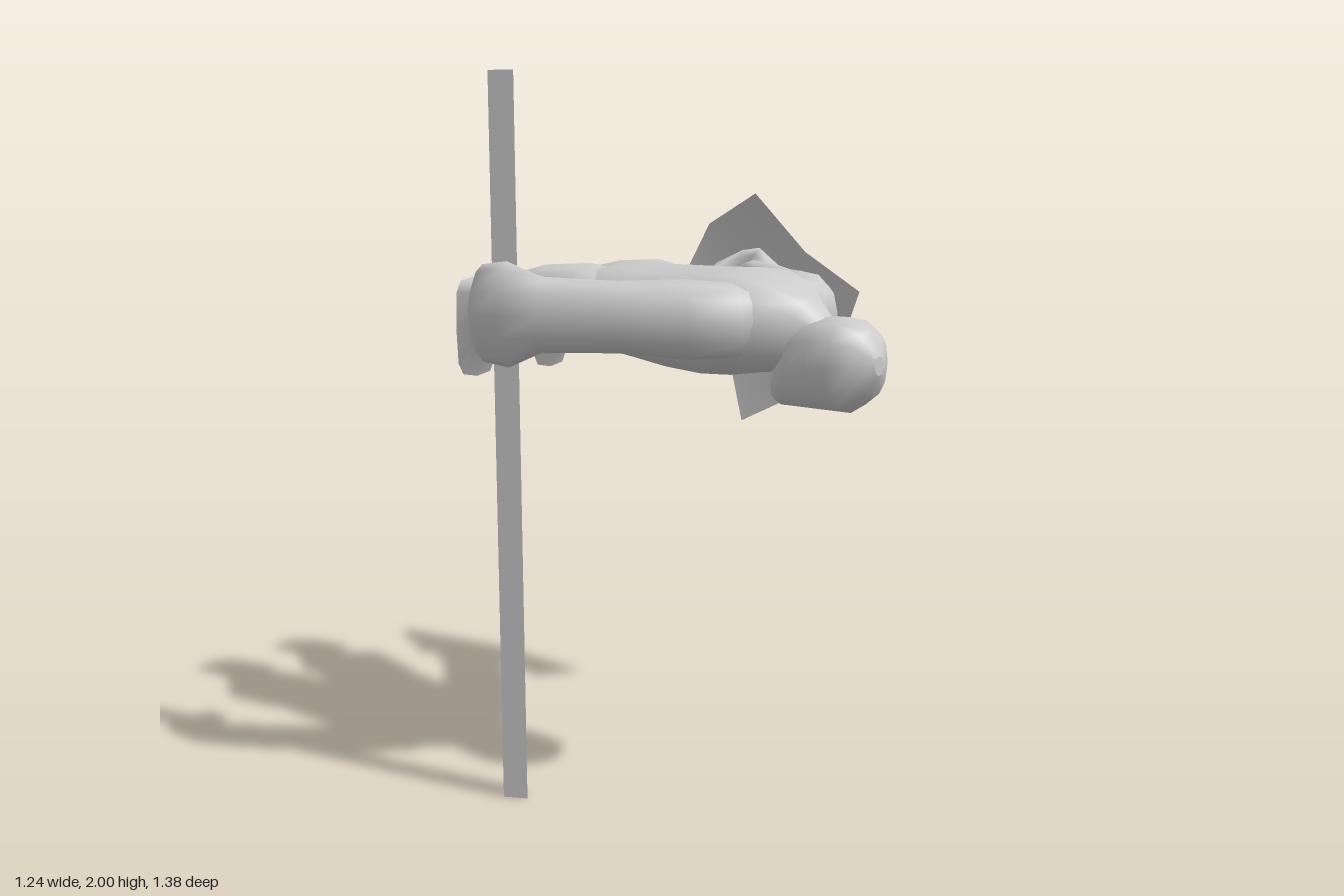
import * as THREE from 'three';

const MID = -0.025; // the body's centre line
const SIDES = 12;
const material = new THREE.MeshStandardMaterial({ color: 0xcccccc });
const sheet = new THREE.MeshStandardMaterial({ color: 0xcccccc, side: THREE.DoubleSide });

// Skins rounded rings. Section: [offset from centre line, y, z, half width, half height, heading, squareness]
function loft(name, sections, side = 1) {
  const pos = [], index = [];
  const rings = sections.map(([off, y, z, w, h, heading = 0, p = 0.85]) => {
    const a = heading * side, ring = [];
    for (let j = 0; j < SIDES; j++) {
      const t = (j / SIDES) * Math.PI * 2, c = Math.cos(t), s = Math.sin(t);
      const u = Math.sign(c) * Math.abs(c) ** p * w;
      const v = Math.sign(s) * Math.abs(s) ** p * h;
      ring.push([MID + off * side + Math.cos(a) * u, y + v, z - Math.sin(a) * u]);
    }
    return ring;
  });
  rings.forEach(ring => ring.forEach(q => pos.push(...q)));
  for (let i = 0; i < rings.length - 1; i++) {
    for (let j = 0; j < SIDES; j++) {
      const k = (j + 1) % SIDES, a = i * SIDES, b = a + SIDES;
      index.push(a + j, a + k, b + j, a + k, b + k, b + j);
    }
  }
  // end caps on their own vertices keep the rims sharp
  [[rings[0], true], [rings[rings.length - 1], false]].forEach(([ring, first]) => {
    const base = pos.length / 3;
    ring.forEach(q => pos.push(...q));
    for (let j = 1; j < SIDES - 1; j++) {
      if (first) index.push(base, base + j + 1, base + j);
      else index.push(base, base + j, base + j + 1);
    }
  });
  const g = new THREE.BufferGeometry();
  g.setAttribute('position', new THREE.Float32BufferAttribute(pos, 3));
  g.setIndex(index);
  g.computeVertexNormals();
  const mesh = new THREE.Mesh(g, material);
  mesh.name = name;
  return mesh;
}

// Domed plate: a 3 x 3 net with its four corners pulled back
function makeShield() {
  const net = [
    [0.5, 1.68, -0.13], [0.55, 1.5, 0.03], [0.5, 1.39, 0.27],
    [0.56, 1.58, -0.37], [0.62, 1.34, -0.12], [0.575, 1.1, 0.11],
    [0.5, 1.35, -0.465], [0.56, 1.17, -0.29], [0.5, 0.95, -0.18],
  ];
  const index = [];
  for (const a of [0, 1, 3, 4]) index.push(a, a + 4, a + 1, a, a + 3, a + 4);
  const g = new THREE.BufferGeometry();
  g.setAttribute('position', new THREE.Float32BufferAttribute(net.flat(), 3));
  g.setIndex(index);
  g.computeVertexNormals();
  const mesh = new THREE.Mesh(g, sheet);
  mesh.name = 'shield';
  return mesh;
}

// Three-sided staff with one edge facing forward
function makeStaff() {
  const s = new THREE.Shape([
    new THREE.Vector2(-0.55, 0.19), new THREE.Vector2(-0.515, 0.13), new THREE.Vector2(-0.48, 0.19),
  ]);
  const g = new THREE.ExtrudeGeometry(s, { depth: 2, bevelEnabled: false });
  g.rotateX(-Math.PI / 2);
  const mesh = new THREE.Mesh(g, material);
  mesh.name = 'staff';
  return mesh;
}

export function createModel() {
  const model = new THREE.Group();
  model.name = 'proneFigure';

  model.add(loft('torso', [
    [0, 1.36, -0.21, 0.245, 0.11],
    [0, 1.36, -0.16, 0.25, 0.13],
    [0, 1.35, -0.05, 0.25, 0.135],
    [0, 1.34, 0.08, 0.245, 0.145],
    [0, 1.335, 0.2, 0.235, 0.15],
    [0, 1.345, 0.31, 0.235, 0.143],
    [0, 1.335, 0.41, 0.17, 0.12],
    [0, 1.315, 0.475, 0.085, 0.095],
    [0, 1.28, 0.53, 0.06, 0.08],
  ]));

  // head, with the jaw reaching back under the neck
  model.add(loft('head', [
    [0, 1.18, 0.385, 0.06, 0.05],
    [0, 1.2, 0.415, 0.09, 0.08],
    [0, 1.235, 0.47, 0.115, 0.115],
    [0, 1.245, 0.54, 0.124, 0.125],
    [0, 1.245, 0.605, 0.122, 0.125],
    [0, 1.25, 0.66, 0.085, 0.09],
    [0, 1.25, 0.69, 0.02, 0.025],
  ]));

  const back = Math.PI;
  for (const [side, label] of [[1, 'left'], [-1, 'right']]) {
    // leg ending in a flat foot that points down
    model.add(loft(label + 'Leg', [
      [0.12, 1.35, -0.05, 0.08, 0.07, back],
      [0.142, 1.362, -0.2, 0.128, 0.125, back],
      [0.157, 1.365, -0.37, 0.143, 0.112, back],
      [0.143, 1.37, -0.46, 0.088, 0.088, back],
      [0.155, 1.345, -0.6, 0.05, 0.065, back, 0.7],
      [0.157, 1.275, -0.69, 0.078, 0.155, back, 0.5],
    ], side));

    // arm swept out and back, with a curled mitten hand
    model.add(loft(label + 'Arm', [
      [0.04, 1.35, 0.34, 0.07, 0.07, 2.0],
      [0.16, 1.355, 0.325, 0.1, 0.1, 2.1],
      [0.25, 1.36, 0.25, 0.097, 0.105, 2.35],
      [0.36, 1.365, 0.11, 0.09, 0.095, 2.5],
      [0.48, 1.37, -0.05, 0.075, 0.1, 2.55],
      [0.535, 1.37, -0.12, 0.06, 0.14, 2.9, 1.2],
      [0.55, 1.37, -0.2, 0.046, 0.13, 3.4, 1.2],
      [0.49, 1.37, -0.26, 0.03, 0.09, 4.1, 1],
      [0.42, 1.37, -0.26, 0.008, 0.04, 4.6, 1],
    ], side));

    // thumb
    model.add(loft(label + 'Thumb', [
      [0.465, 1.42, -0.03, 0.055, 0.045, 2.55, 1],
      [0.465, 1.43, -0.09, 0.045, 0.045, 3.0, 1],
      [0.49, 1.44, -0.15, 0.015, 0.02, 2.8, 1],
    ], side));
  }

  model.add(makeShield(), makeStaff());
  return model;
}
